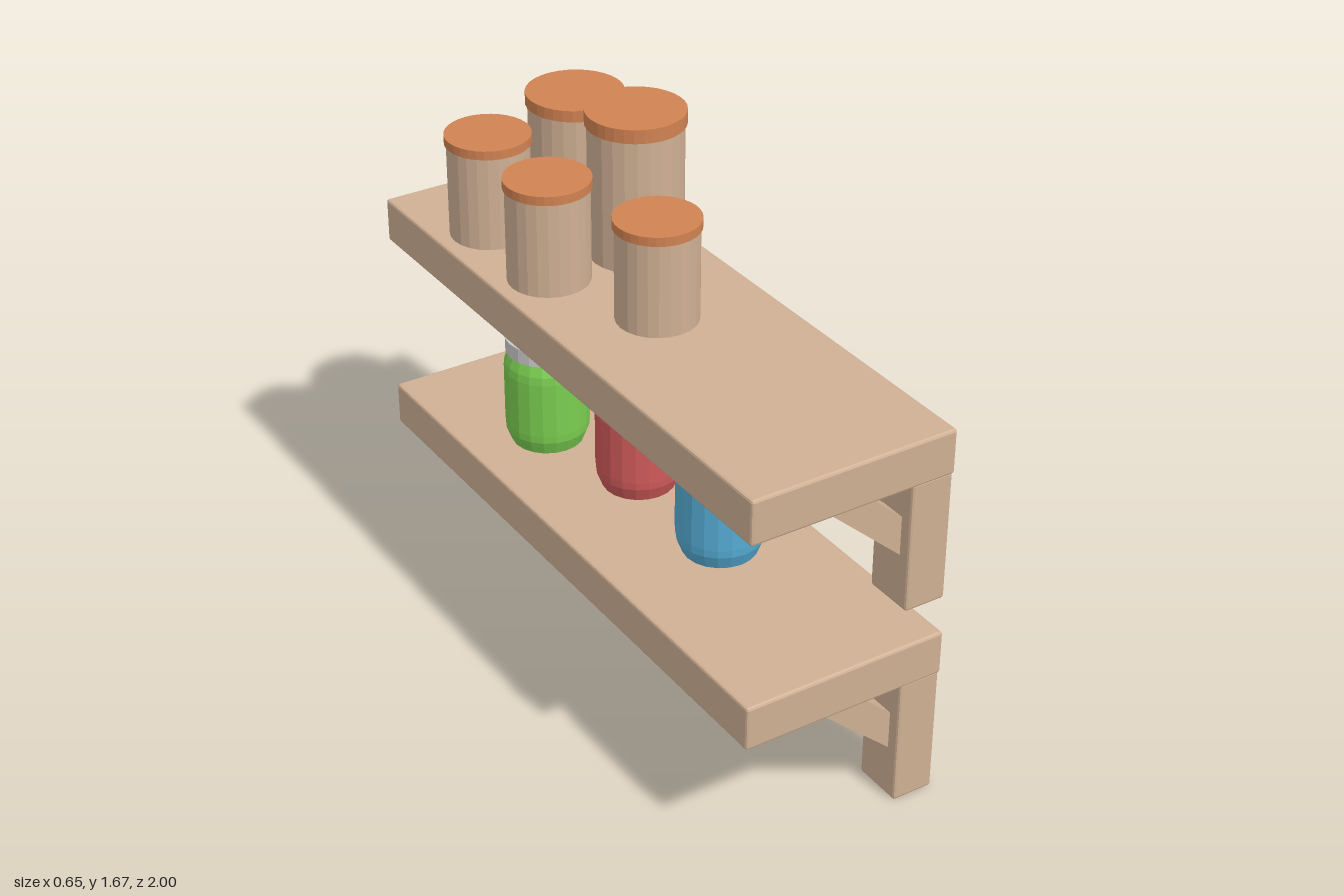
import * as THREE from 'three';
import { RoundedBoxGeometry } from 'three/addons/geometries/RoundedBoxGeometry.js';

const mat = (name, color, flatShading = false) => {
  const m = new THREE.MeshStandardMaterial({ color, flatShading });
  m.name = name;
  return m;
};

export function createModel() {
  const root = new THREE.Group();
  root.name = 'shelvesWithJars';

  const wood = mat('wood', 0xd0b094, true);
  const terracotta = mat('terracotta', 0xd08252, true);
  const lidGrey = mat('lidGrey', 0xcacaca, true);
  const blue = mat('blueGlass', 0x55abd4, true);
  const red = mat('redGlass', 0xd05a5a, true);
  const green = mat('greenGlass', 0x7acd50, true);

  const add = (parent, name, geometry, material, x = 0, y = 0, z = 0) => {
    const mesh = new THREE.Mesh(geometry, material);
    mesh.name = name;
    mesh.position.set(x, y, z);
    parent.add(mesh);
    return mesh;
  };

  // Shelf unit: board, two wall posts and two diagonal braces
  const boardGeo = new RoundedBoxGeometry(0.655, 0.14, 2, 1, 0.008);
  const postGeo = new RoundedBoxGeometry(0.132, 0.412, 0.16, 1, 0.008);
  const braceShape = new THREE.Shape([
    new THREE.Vector2(-0.08, 0.412),
    new THREE.Vector2(0.2, 0.162),
    new THREE.Vector2(0.2, 0.285),
    new THREE.Vector2(0.058, 0.412),
  ]);
  const braceGeo = new THREE.ExtrudeGeometry(braceShape, { depth: 0.08, bevelEnabled: false });
  braceGeo.translate(0, 0, -0.04);

  for (const [name, y] of [['lowerShelf', 0], ['upperShelf', 0.661]]) {
    const shelf = new THREE.Group();
    shelf.name = name;
    shelf.position.y = y;
    add(shelf, 'board', boardGeo, wood, 0, 0.477, 0);
    for (const side of [1, -1]) {
      add(shelf, 'post', postGeo, wood, 0.26, 0.206, side * 0.914);
      add(shelf, 'brace', braceGeo, wood, 0, 0, side * 0.914);
    }
    root.add(shelf);
  }

  // Glass jars with shoulders and grey screw lids
  const jarProfile = [[0, 0], [0.112, 0], [0.129, 0.045], [0.131, 0.07], [0.131, 0.25],
    [0.128, 0.275], [0.115, 0.312], [0, 0.312]].map(([r, y]) => new THREE.Vector2(r, y));
  const jarGeo = new THREE.LatheGeometry(jarProfile, 20);
  const jarLidGeo = new THREE.CylinderGeometry(0.125, 0.125, 0.048, 20);
  for (const [name, x, z, glass] of [
    ['blueJar', 0.03, 0.33, blue],
    ['redJar', 0.02, -0.095, red],
    ['greenJar', -0.08, -0.465, green],
  ]) {
    const jar = new THREE.Group();
    jar.name = name;
    jar.position.set(x, 0.555, z);
    add(jar, 'jarBody', jarGeo, glass);
    add(jar, 'jarLid', jarLidGeo, lidGrey, 0, 0.336, 0);
    root.add(jar);
  }

  // Wooden canisters with overhanging lids: x, z, lid radius, total height, lid height
  for (const [x, z, r, h, lid] of [
    [-0.02, 0.07, 0.128, 0.318, 0.028],
    [-0.16, -0.295, 0.13, 0.325, 0.028],
    [-0.16, -0.64, 0.13, 0.325, 0.028],
    [0.14, -0.298, 0.15, 0.463, 0.043],
    [0.14, -0.64, 0.15, 0.388, 0.036],
  ]) {
    const canister = new THREE.Group();
    canister.name = 'canister';
    canister.position.set(x, 1.209, z);
    const bodyR = r * 0.955;
    const bodyH = h - lid;
    add(canister, 'canisterBody', new THREE.CylinderGeometry(bodyR, bodyR, bodyH, 24), wood, 0, bodyH / 2, 0);
    add(canister, 'canisterLid', new THREE.CylinderGeometry(r, r, lid, 32), terracotta, 0, h - lid / 2, 0);
    root.add(canister);
  }

  return root;
}
